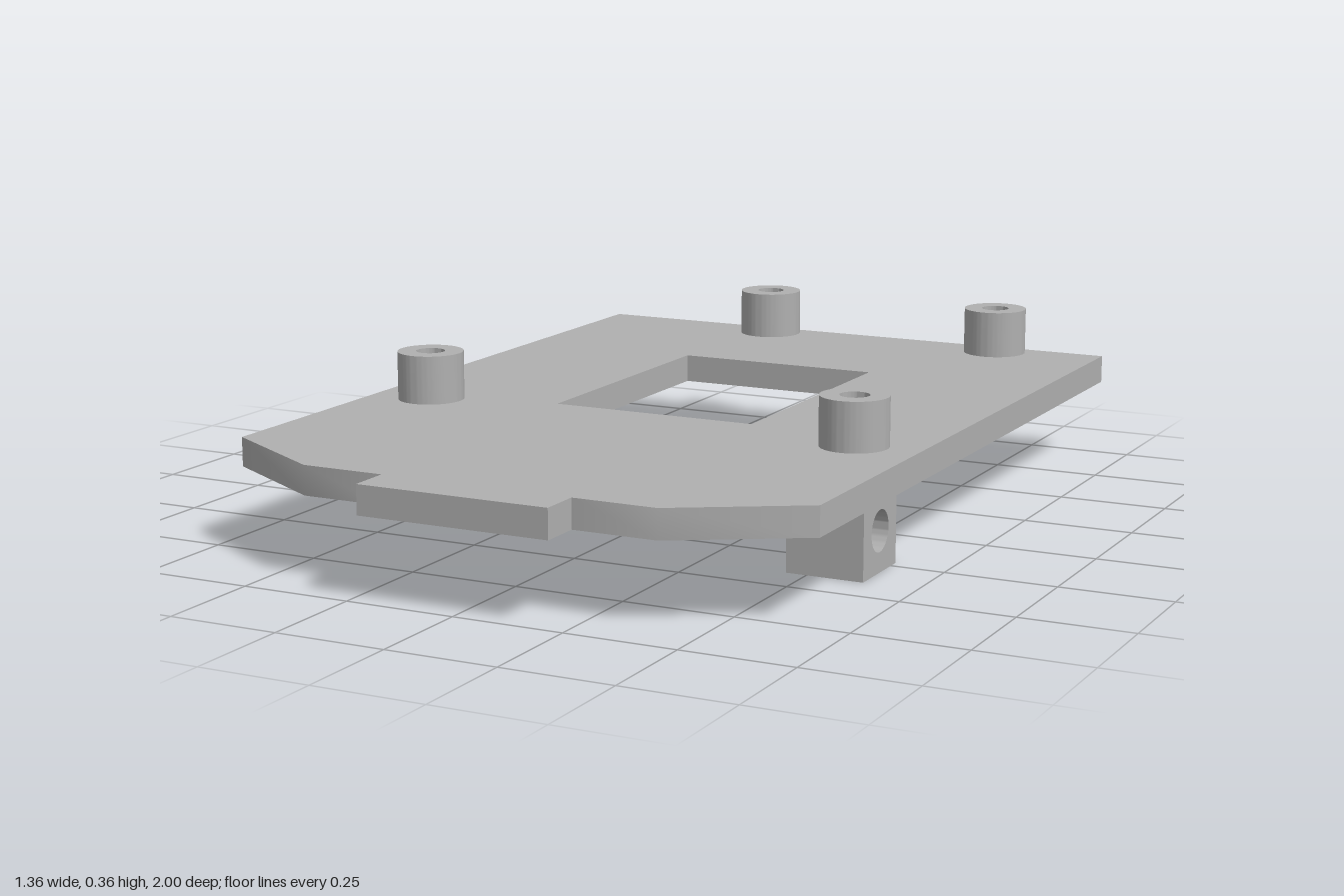
import * as THREE from 'three';
import { toCreasedNormals } from 'three/addons/utils/BufferGeometryUtils.js';

const PLATE_BOTTOM = 0.182, PLATE_TOP = 0.247, BOSS_TOP = 0.358;

const grey = new THREE.MeshStandardMaterial({ color: 0xb0b0b0 });
grey.name = 'plainGrey';

function addPart(parent, name, geometry) {
  const mesh = new THREE.Mesh(geometry, grey);
  mesh.name = name;
  parent.add(mesh);
  return mesh;
}

function polygon(points) {
  return points.map(([x, y]) => new THREE.Vector2(x, y));
}

function roundHole(x, y, radius) {
  return new THREE.Path().absarc(x, y, radius, 0, Math.PI * 2, true);
}

// Straight extrusion with smooth round walls and sharp edges
function extrude(shape, depth) {
  const geometry = new THREE.ExtrudeGeometry(shape, { depth, bevelEnabled: false, curveSegments: 40 });
  return toCreasedNormals(geometry, 0.6);
}

export function createModel() {
  const model = new THREE.Group();
  model.name = 'mountingPlate';

  // Base plate: mirrored outline with clipped front corners, tab and window
  const half = [[0.681, -0.989], [0.681, 0.744], [0.41, 0.906], [0.22, 0.906], [0.22, 1]];
  const mirrored = half.map(([x, z]) => [-x, z]).reverse();
  const outline = new THREE.Shape(polygon([...half, ...mirrored]));
  outline.holes.push(new THREE.Path(polygon([
    [-0.246, -0.534], [-0.246, 0.13], [0.244, 0.13], [0.244, -0.534],
  ])));
  const plate = extrude(outline, PLATE_TOP - PLATE_BOTTOM);
  plate.rotateX(Math.PI / 2).translate(0, PLATE_TOP, 0);
  addPart(model, 'basePlate', plate);

  // Four hollow standoffs on top
  const ring = new THREE.Shape().absarc(0, 0, 0.076, 0, Math.PI * 2, false);
  ring.holes.push(roundHole(0, 0, 0.033));
  const bossGeometry = extrude(ring, BOSS_TOP - PLATE_TOP).rotateX(Math.PI / 2);
  const spots = [[-0.199, -0.925], [0.42, -0.925], [-0.537, 0.204], [0.532, 0.23]];
  spots.forEach(([x, z], i) => {
    addPart(model, `standoff${i + 1}`, bossGeometry).position.set(x, BOSS_TOP, z);
  });

  // Block under the plate with a blind hole in its outer side
  const block = new THREE.Group();
  block.name = 'sideBlock';
  block.position.set(0.453, PLATE_BOTTOM / 2, 0.313);
  const h = PLATE_BOTTOM / 2, w = 0.088, back = 0.036, depth = 0.14;
  const face = new THREE.Shape(polygon([[-w, -h], [w, -h], [w, h], [-w, h]]));
  face.holes.push(roundHole(0, 0, 0.046));
  addPart(block, 'drilledBody', extrude(face, depth).rotateY(Math.PI / 2).translate(back, 0, 0));
  addPart(block, 'blockBack', new THREE.BoxGeometry(back, 2 * h, 2 * w).translate(back / 2, 0, 0));
  model.add(block);

  return model;
}
